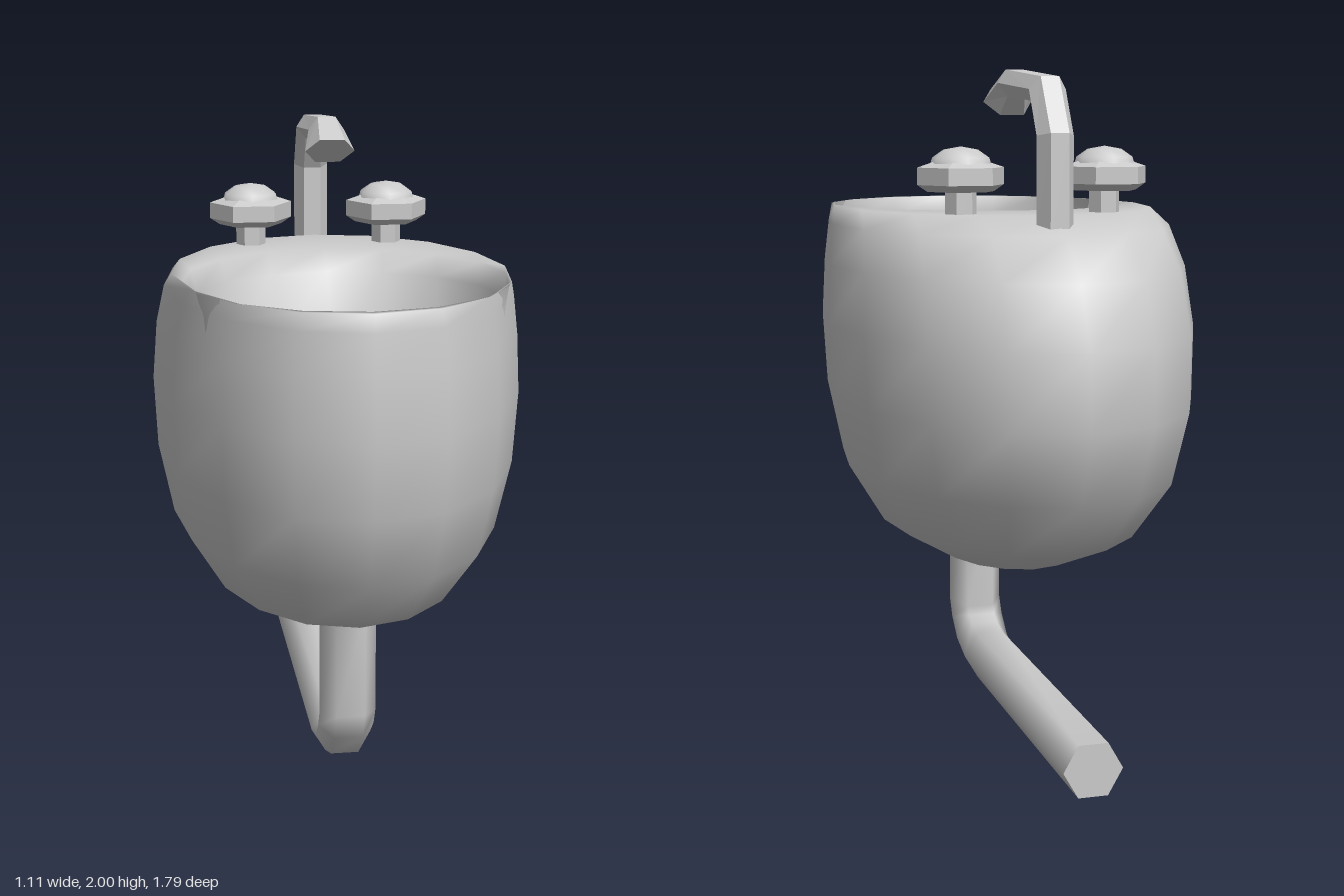
import * as THREE from 'three';
import { mergeGeometries } from 'three/addons/utils/BufferGeometryUtils.js';

const GREY = 0xcccccc;
const smooth = new THREE.MeshStandardMaterial({ color: GREY, side: THREE.DoubleSide });
const faceted = new THREE.MeshStandardMaterial({ color: GREY, flatShading: true });

// Skin a list of closed rings (arrays of Vector3) with shared vertices
function loft(rings) {
  const n = rings[0].length;
  const index = [];
  for (let i = 0; i < rings.length - 1; i++) {
    for (let j = 0; j < n; j++) {
      const k = (j + 1) % n;
      const a = i * n + j, b = i * n + k, c = a + n, d = b + n;
      index.push(a, b, d, a, d, c);
    }
  }
  const geo = new THREE.BufferGeometry().setFromPoints(rings.flat());
  geo.setIndex(index);
  geo.computeVertexNormals();
  return geo;
}

// Horizontal egg ring: [y, half width, front z, back z]
function eggRing([y, w, front, back]) {
  const ring = [];
  for (let j = 0; j < 16; j++) {
    const a = (j / 16) * Math.PI * 2;
    ring.push(new THREE.Vector3(w * Math.sin(a), y,
      (front + back) / 2 + (front - back) / 2 * Math.cos(a)));
  }
  return ring;
}

// Six-sided tube bent in the yz plane; sections: [outer z, outer y, inner z, inner y, half width]
function hexTube(sections) {
  const rings = sections.map(([oz, oy, iz, iy, w]) => {
    const ring = [];
    for (let j = 0; j < 6; j++) {
      const t = (j / 6) * Math.PI * 2;
      const s = Math.sin(t) / Math.sin(Math.PI / 3) / 2;
      ring.push(new THREE.Vector3(w * Math.cos(t),
        (oy + iy) / 2 + (oy - iy) * s, (oz + iz) / 2 + (oz - iz) * s));
    }
    return ring;
  });
  const flatten = (ring) => {
    const c = ring.reduce((m, p) => m.add(p), new THREE.Vector3()).divideScalar(6);
    return ring.map(() => c.clone());
  };
  const first = rings[0], last = rings[rings.length - 1];
  return mergeGeometries([loft([flatten(first), first]), loft(rings), loft([last, flatten(last)])]);
}

function add(parent, name, geo, mat) {
  const mesh = new THREE.Mesh(geo, mat);
  mesh.name = name;
  parent.add(mesh);
  return mesh;
}

// Tap handle: stem, hexagonal knob and smooth domed cap
function makeHandle(name, x) {
  const g = new THREE.Group();
  g.name = name;
  const hex = (rTop, rBottom, y0, y1) => {
    const geo = new THREE.CylinderGeometry(rTop, rBottom, y1 - y0, 6);
    return geo.rotateY(Math.PI / 2).translate(0, (y0 + y1) / 2, 0);
  };
  add(g, 'handleStem', hex(0.047, 0.047, 1.53, 1.66), faceted);
  add(g, 'handleKnob', mergeGeometries([
    hex(0.13, 0.13, 1.665, 1.715), hex(0.13, 0.10, 1.645, 1.665),
    hex(0.085, 0.13, 1.715, 1.73),
  ]), faceted);
  const dome = [[0.09, 1.72], [0.083, 1.743], [0.05, 1.766], [0, 1.775]];
  add(g, 'handleCap', new THREE.LatheGeometry(dome.map(([r, y]) => new THREE.Vector2(r, y)), 10), smooth);
  g.position.set(x, 0, -0.31);
  return g;
}

export function createModel() {
  const model = new THREE.Group();
  model.name = 'washbasin';

  // Outer shell from the base up, over the rim and deck, down into the bowl
  const shell = [
    [0.47, 0, 0, 0], [0.505, 0.21, 0.31, -0.33], [0.61, 0.39, 0.62, -0.61],
    [0.79, 0.50, 0.79, -0.78], [1.01, 0.545, 0.87, -0.855], [1.23, 0.555, 0.895, -0.845],
    [1.41, 0.542, 0.88, -0.77], [1.53, 0.52, 0.865, -0.64], [1.58, 0.50, 0.85, -0.46],
    [1.58, 0.475, 0.82, -0.18], [1.52, 0.46, 0.81, -0.10], [1.3, 0.45, 0.80, -0.03],
    [1.06, 0.41, 0.76, 0.04], [0.88, 0.28, 0.64, 0.16], [0.82, 0, 0.4, 0.4],
  ];
  add(model, 'basin', loft(shell.map(eggRing)), smooth);

  // Hooked spout, flaring at its mouth
  add(model, 'spout', hexTube([
    [-0.57, 1.52, -0.475, 1.52, 0.055], [-0.567, 1.815, -0.475, 1.80, 0.055],
    [-0.47, 1.973, -0.42, 1.902, 0.055], [-0.11, 2.0, -0.13, 1.92, 0.055],
    [0.02, 1.943, -0.085, 1.865, 0.076],
  ]), faceted);

  for (const [name, x] of [['leftHandle', 0.22], ['rightHandle', -0.22]]) {
    model.add(makeHandle(name, x));
  }

  // Drain pipe bending towards the wall
  add(model, 'drainPipe', hexTube([
    [0.445, 0.6, 0.297, 0.6, 0.087], [0.445, 0.25, 0.297, 0.22, 0.087],
    [0.40, 0.16, 0.278, 0.195, 0.087], [0.31, 0.066, 0.24, 0.175, 0.087],
    [0.17, 0.012, 0.175, 0.16, 0.087], [-0.895, 0, -0.895, 0.152, 0.087],
  ]), smooth);

  return model;
}
